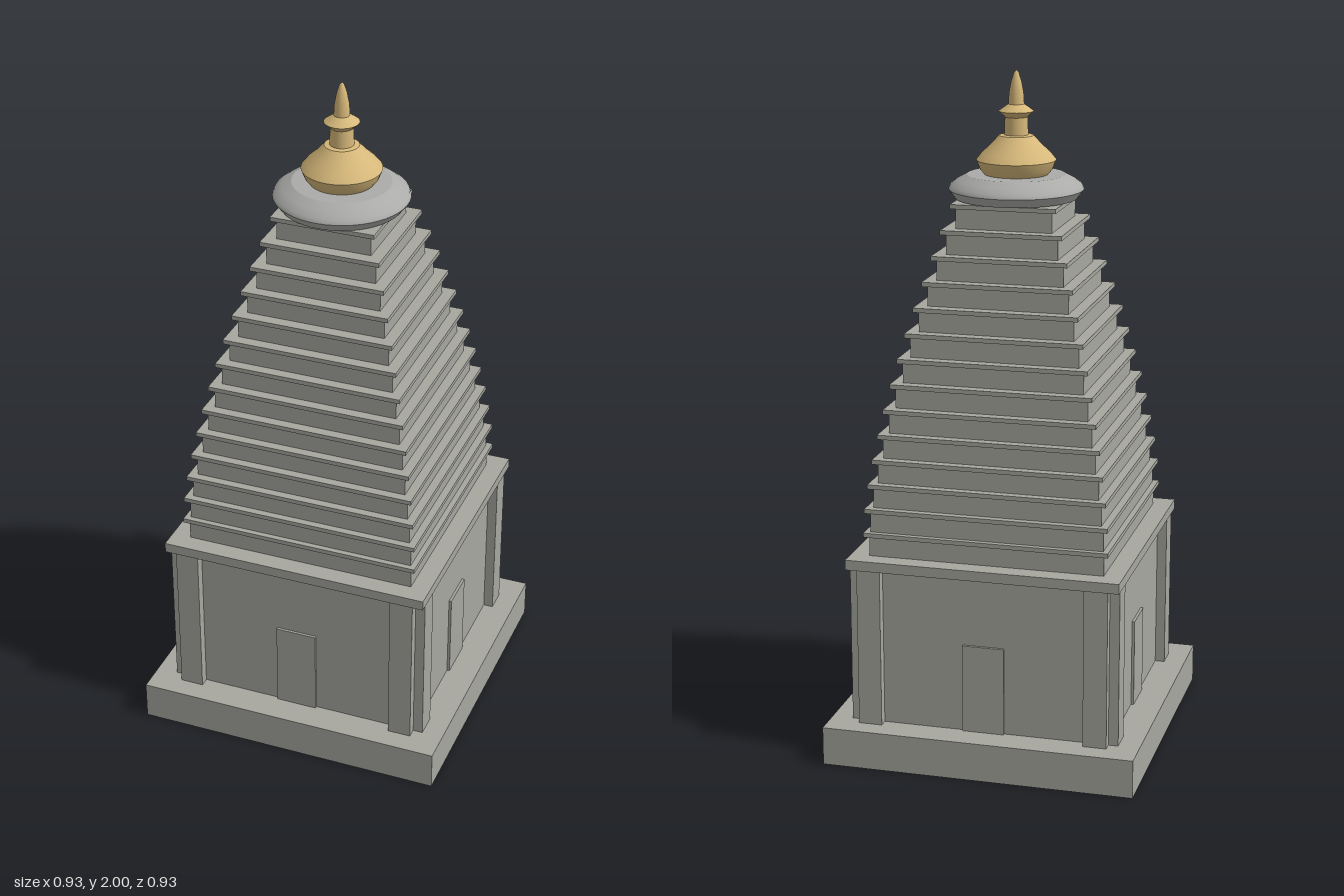
import * as THREE from 'three';

export function createModel() {
  const tower = new THREE.Group();
  tower.name = 'templeTower';

  const mat = (name, color) => {
    const m = new THREE.MeshStandardMaterial({ color });
    m.name = name;
    return m;
  };
  const stone = mat('stone', 0xa7a7a0);
  const paleStone = mat('paleStone', 0xabaca9);
  const gold = mat('gold', 0xd6b87a);

  // Box given by its bottom and top heights
  const block = (name, w, d, y0, y1, x = 0, z = 0, parent = tower) => {
    const m = new THREE.Mesh(new THREE.BoxGeometry(w, y1 - y0, d), stone);
    m.name = name;
    m.position.set(x, (y0 + y1) / 2, z);
    parent.add(m);
    return m;
  };

  // Turned part: each band is smooth, with a sharp edge between bands
  const turned = (name, material, bands) => {
    const g = new THREE.Group();
    g.name = name;
    for (const band of bands) {
      const pts = band.map(([r, y]) => new THREE.Vector2(r, y));
      const m = new THREE.Mesh(new THREE.LatheGeometry(pts, 48), material);
      m.name = name + 'Band';
      g.add(m);
    }
    tower.add(g);
  };

  // Plinth, shrine body and cornice
  block('plinth', 0.93, 0.93, 0, 0.115);
  block('shrineBody', 0.746, 0.746, 0.115, 0.592);
  block('cornice', 0.812, 0.812, 0.59, 0.62);

  // Two pilasters and a shallow door on each wall
  for (let i = 0; i < 4; i++) {
    const wall = new THREE.Group();
    wall.name = 'wallDetails';
    wall.rotation.y = i * Math.PI / 2;
    for (const s of [-1, 1]) {
      block('pilaster', 0.07, 0.04, 0.115, 0.59, s * 0.338, 0.382, wall);
    }
    block('door', 0.124, 0.009, 0.115, 0.38, 0, 0.3765, wall);
    tower.add(wall);
  }

  // Curved spire of stepped tiers, each capped by a ledge
  const ledges = [0.363, 0.36, 0.352, 0.341, 0.328, 0.314, 0.298,
    0.281, 0.263, 0.243, 0.222, 0.201, 0.179, 0.156];
  const step = 1.01 / ledges.length;
  ledges.forEach((r, i) => {
    const y0 = 0.62 + i * step, y1 = y0 + step;
    const body = 2 * (r - 0.014);
    block('tier', body, body, y0, y1 - 0.013);
    block('ledge', 2 * r, 2 * r, y1 - 0.013, y1);
  });

  // Round cushion stone
  turned('cushionStone', paleStone, [
    [[0, 1.632], [0.178, 1.632]],
    [[0.178, 1.632], [0.197, 1.658]],
    [[0.197, 1.658], [0.192, 1.67], [0.17, 1.686], [0.143, 1.7]],
    [[0.143, 1.7], [0, 1.702]],
  ]);

  // Golden finial: pot, neck, collar and point
  turned('finial', gold, [
    [[0.093, 1.7], [0.106, 1.716], [0.116, 1.742]],
    [[0.116, 1.742], [0.1, 1.762], [0.075, 1.785], [0.05, 1.812]],
    [[0.05, 1.812], [0.035, 1.814]],
    [[0.035, 1.814], [0.033, 1.865]],
    [[0.033, 1.865], [0.051, 1.882]],
    [[0.051, 1.882], [0.023, 1.902]],
    [[0.023, 1.902], [0.021, 1.935], [0.015, 1.967], [0.007, 1.992], [0, 2]],
  ]);

  return tower;
}
